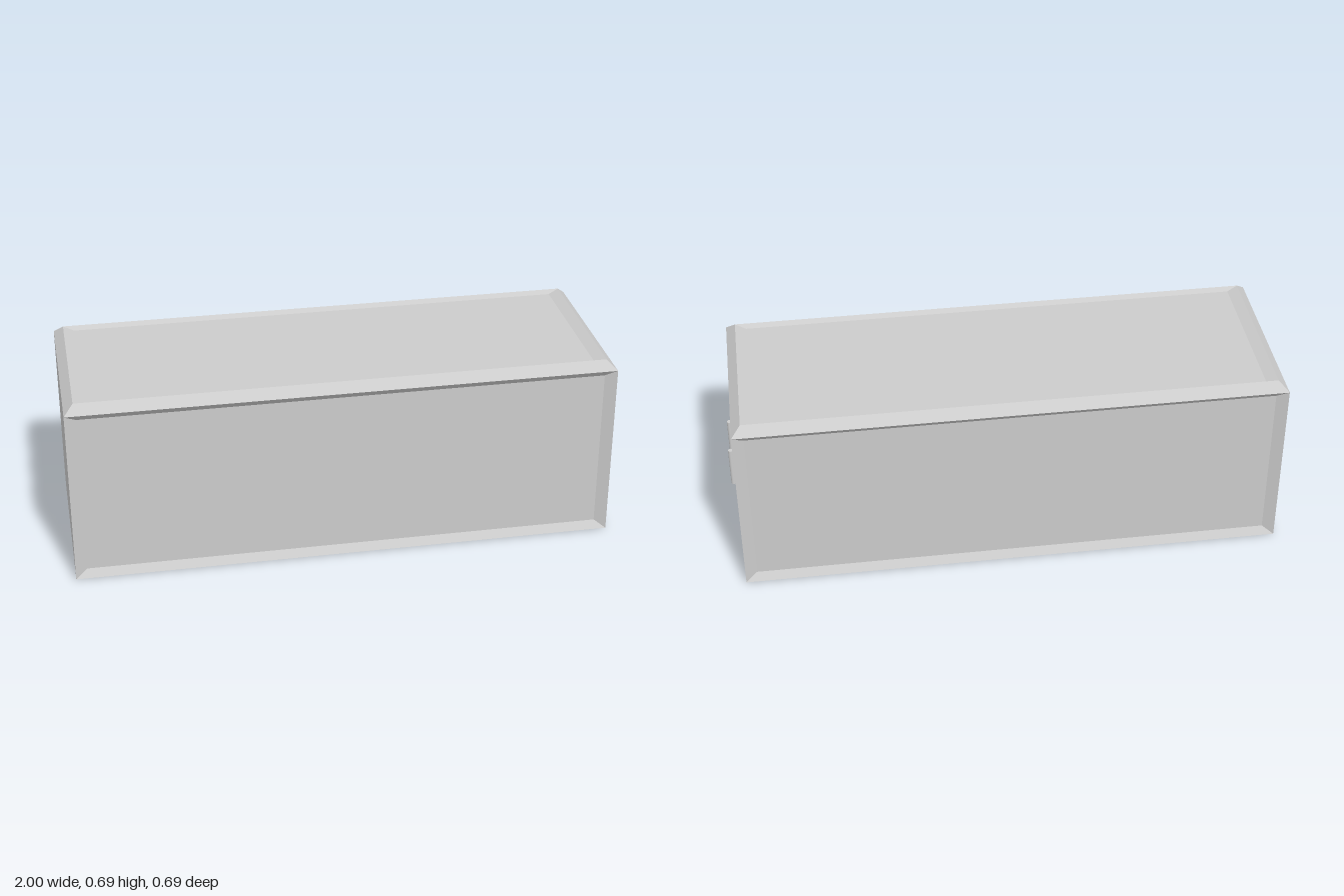
import * as THREE from 'three';

const HX = 0.9875, HZ = 0.345, EAVE = 0.66, TOP = 0.693;

// Four-corner rings, counter-clockwise as seen from outside
const facingZ = (hx, y0, y1, z) => [[-hx, y0, z], [hx, y0, z], [hx, y1, z], [-hx, y1, z]];
const facingX = (hz, y0, y1, x) => [[x, y0, hz], [x, y0, -hz], [x, y1, -hz], [x, y1, hz]];
const facingY = (hx, hz, y) => [[-hx, y, hz], [hx, y, hz], [hx, y, -hz], [-hx, y, -hz]];

// Joins each ring to the next and caps the last one
function panelGeometry(rings) {
  const pos = [];
  const quad = (a, b, c, d) => pos.push(...a, ...b, ...c, ...a, ...c, ...d);
  for (let r = 0; r + 1 < rings.length; r++) {
    const a = rings[r], b = rings[r + 1];
    for (let i = 0; i < 4; i++) {
      const j = (i + 1) % 4;
      quad(a[i], a[j], b[j], b[i]);
    }
  }
  quad(...rings[rings.length - 1]);
  const g = new THREE.BufferGeometry();
  g.setAttribute('position', new THREE.Float32BufferAttribute(pos, 3));
  g.computeVertexNormals();
  return g;
}

export function createModel() {
  const model = new THREE.Group();
  model.name = 'cargoContainer';
  model.position.x = -0.0125;
  const flat = new THREE.MeshStandardMaterial({ color: 0xcccccc, flatShading: true });
  const smooth = new THREE.MeshStandardMaterial({ color: 0xcccccc });

  const add = (name, geometry, material, parent = model) => {
    const mesh = new THREE.Mesh(geometry, material);
    mesh.name = name;
    parent.add(mesh);
    return mesh;
  };

  // Long walls with a shallow bevelled recess
  const wall = panelGeometry([
    facingZ(HX, 0, EAVE, HZ),
    facingZ(0.946, 0.029, 0.636, HZ - 0.02),
  ]);
  add('frontWall', wall, flat);
  add('backWall', wall, flat).rotation.y = Math.PI;

  // Chamfered roof with a sunken centre
  add('roof', panelGeometry([
    facingY(HX, HZ, EAVE),
    facingY(0.953, 0.311, TOP),
    facingY(0.913, 0.297, TOP - 0.014),
  ]), flat);

  // Plain floor and closed end
  add('floor', panelGeometry([facingY(HX, HZ, 0).reverse()]), flat);
  add('closedEnd', panelGeometry([facingX(HZ, 0, EAVE, -HX).reverse()]), flat);

  // Door end: frame around a straight-sided recess
  const y0 = 0.028, y1 = 0.632, doorX = HX - 0.02;
  add('doorEnd', panelGeometry([
    facingX(HZ, 0, EAVE, HX),
    facingX(0.317, y0, y1, HX),
    facingX(0.317, y0, y1, doorX),
  ]), flat);

  // Vertical locking rods
  const rod = new THREE.CylinderGeometry(0.009, 0.009, y1 - y0, 24);
  for (const z of [-0.216, -0.087, 0.087, 0.216]) {
    add('lockingRod', rod, smooth).position.set(doorX + 0.008, (y0 + y1) / 2, z);
  }

  // Handles: a grip on two short posts
  const grip = new THREE.CylinderGeometry(0.009, 0.009, 0.15, 24);
  const post = new THREE.CylinderGeometry(0.006, 0.006, 0.03, 16).rotateZ(Math.PI / 2);
  for (const z of [-0.087, 0.087]) {
    const handle = new THREE.Group();
    handle.name = 'doorHandle';
    handle.position.set(1.0035, 0.34, z);
    add('grip', grip, smooth, handle);
    for (const y of [-0.062, 0.062]) {
      add('gripPost', post, smooth, handle).position.set(-0.014, y, 0);
    }
    model.add(handle);
  }
  return model;
}
